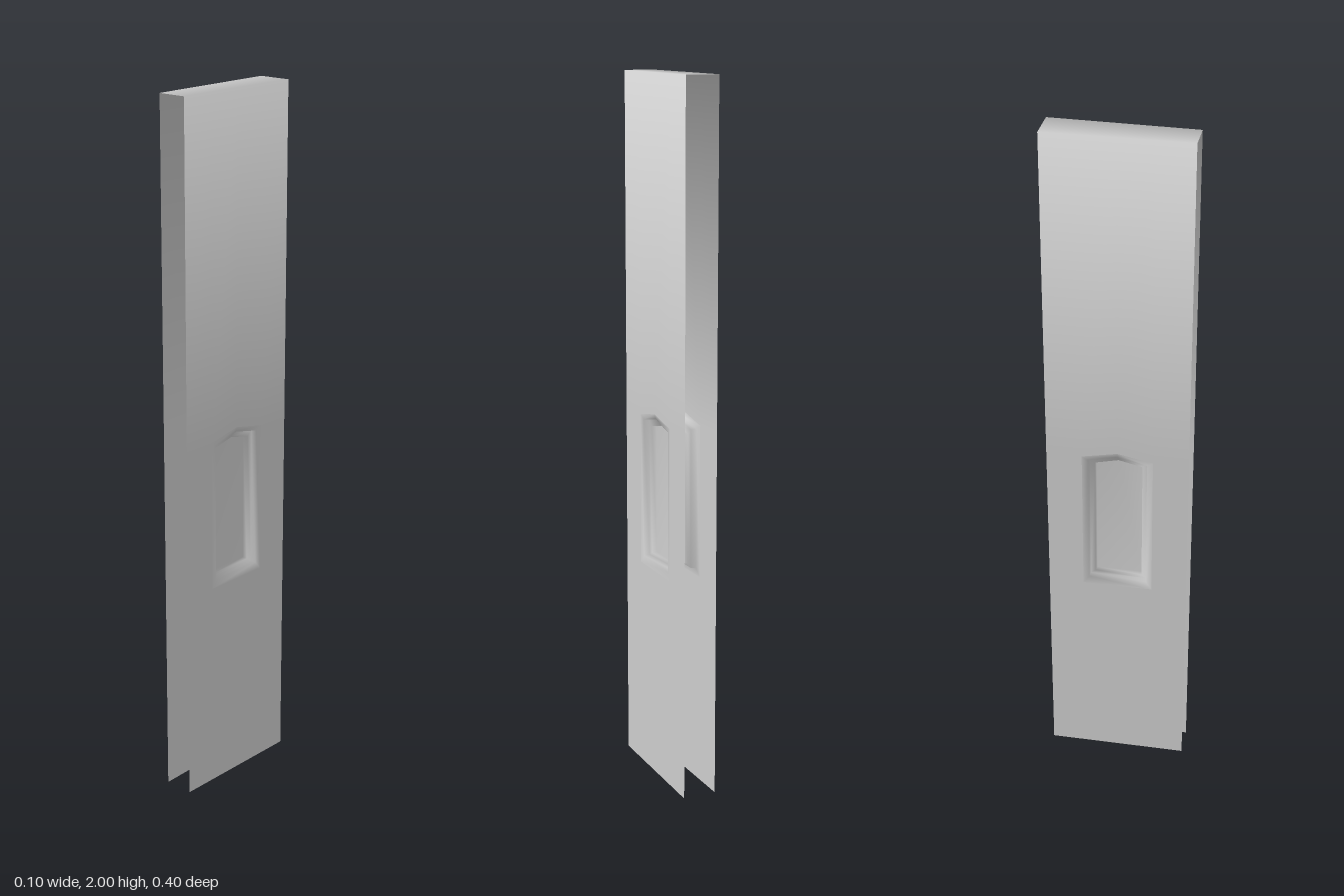
import * as THREE from 'three';

const material = new THREE.MeshStandardMaterial({ color: 0xcccccc, side: THREE.DoubleSide });

// Half width of the slab, slightly narrower towards the front
const halfWidth = (z) => 0.0452 - 0.0137 * z;

// Window outline: half width, sill, shoulder and apex heights, depth below the wall
const rings = [
  { h: 0.1, sill: 0.613, shoulder: 1.05, apex: 1.07, depth: 0 },
  { h: 0.083, sill: 0.635, shoulder: 1.038, apex: 1.056, depth: 0.003 },
  { h: 0.081, sill: 0.637, shoulder: 1.036, apex: 1.054, depth: 0.019 },
  { h: 0.067, sill: 0.646, shoulder: 1.02, apex: 1.036, depth: 0.021 },
  { h: 0.065, sill: 0.648, shoulder: 1.018, apex: 1.034, depth: 0.035 },
];

function makeGeometry(positions, index) {
  const g = new THREE.BufferGeometry();
  g.setAttribute('position', new THREE.Float32BufferAttribute(positions, 3));
  g.setIndex(index);
  g.computeVertexNormals();
  return g;
}

// Two walls and a top strip in one sheet, open at the ends, with a hole in each wall
function shellGeometry() {
  const zs = [-0.2, -0.1, 0, 0.1, 0.2];
  const { sill, shoulder, apex } = rings[0];
  const heights = (z) => [0, sill, z === 0 ? apex : shoulder, 2];
  const positions = [], index = [], n = zs.length;
  for (let row = 0; row < 8; row++) {
    const side = row < 4 ? 1 : -1;
    for (const z of zs) positions.push(side * halfWidth(z), heights(z)[row < 4 ? row : 7 - row], z);
  }
  for (let row = 0; row < 7; row++) {
    for (let c = 0; c < n - 1; c++) {
      if ((row === 1 || row === 5) && (c === 1 || c === 2)) continue; // window hole
      const a = row * n + c, b = a + n;
      index.push(a, b, a + 1, b, b + 1, a + 1);
    }
  }
  const g = makeGeometry(positions, index);
  // Smooth shading over the top edges
  const k = Math.SQRT1_2;
  for (let c = 0; c < n; c++) {
    g.attributes.normal.setXYZ(3 * n + c, k, k, 0);
    g.attributes.normal.setXYZ(4 * n + c, -k, k, 0);
  }
  return g;
}

// Stepped recess from the wall inwards, closed by a pane
function windowGeometry() {
  const positions = [], index = [], n = 5;
  for (const { h, sill, shoulder, apex, depth } of rings) {
    const outline = [[h, sill], [-h, sill], [-h, shoulder], [0, apex], [h, shoulder]];
    for (const [z, y] of outline) positions.push(halfWidth(z) - depth, y, z);
  }
  for (let r = 0; r < rings.length - 1; r++) {
    for (let i = 0; i < n; i++) {
      const a = r * n + i, b = r * n + (i + 1) % n;
      index.push(a, b, b + n, a, b + n, a + n);
    }
  }
  const p = (rings.length - 1) * n;
  for (let i = 1; i < n - 1; i++) index.push(p, p + i, p + i + 1);
  return makeGeometry(positions, index);
}

export function createModel() {
  const group = new THREE.Group();
  group.name = 'wallSlab';

  const shell = new THREE.Mesh(shellGeometry(), material);
  shell.name = 'wallShell';
  group.add(shell);

  // Matching window on each wall
  const geometry = windowGeometry();
  for (const side of [1, -1]) {
    const recess = new THREE.Mesh(geometry, material);
    recess.name = side > 0 ? 'leftWindow' : 'rightWindow';
    recess.scale.x = side;
    group.add(recess);
  }
  return group;
}
